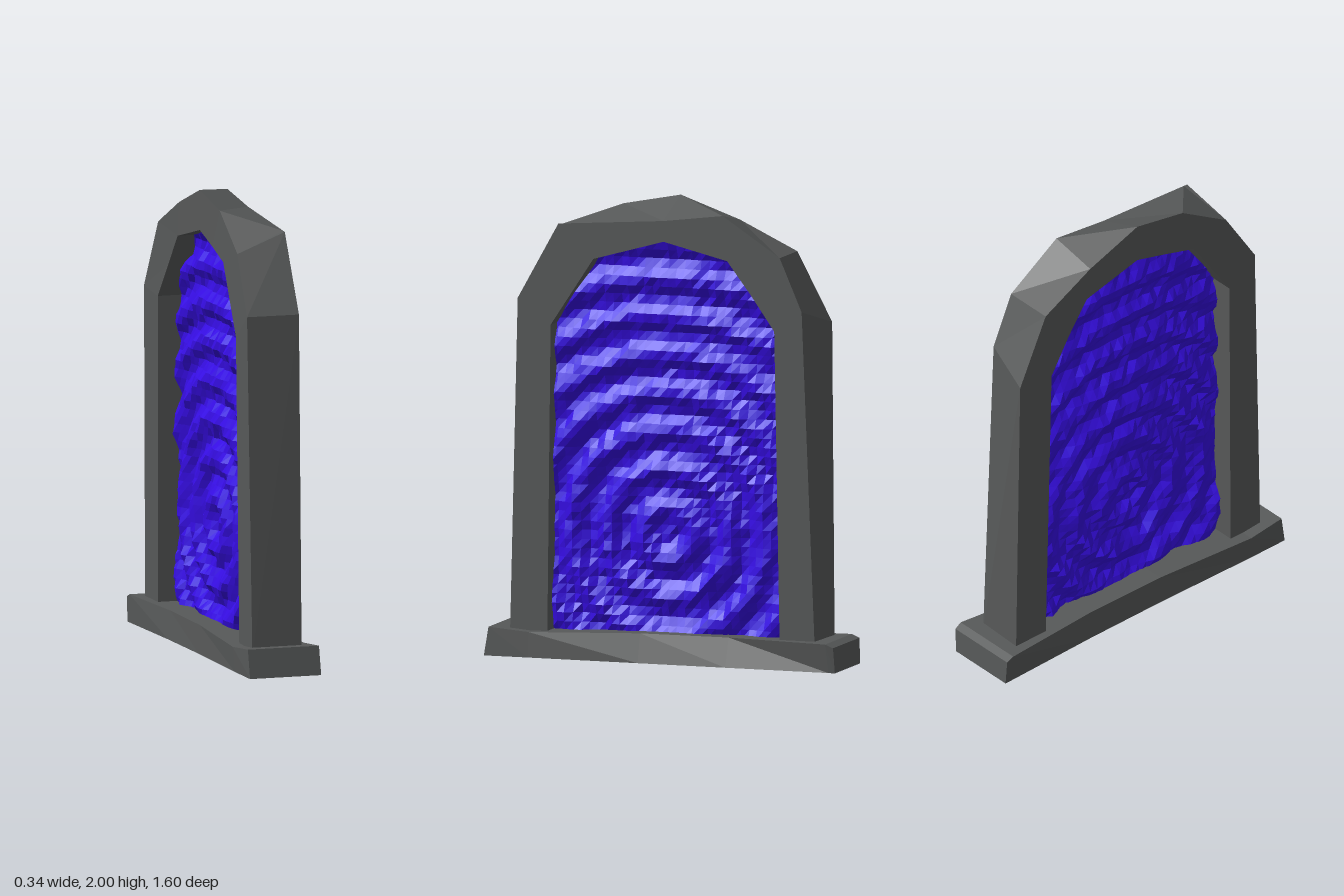
import * as THREE from 'three';

const stone = new THREE.MeshStandardMaterial({ color: 0x575959, flatShading: true });
const glow = new THREE.MeshStandardMaterial({ color: 0x360de4, flatShading: true, side: THREE.DoubleSide });

// Skin a row of four-cornered cross-sections and close both ends
function loft(sections) {
  const index = [];
  const last = (sections.length - 1) * 4;
  for (let i = 0; i < last; i += 4) {
    for (let k = 0; k < 4; k++) {
      const a = i + k, b = i + (k + 1) % 4;
      index.push(a, b, b + 4, a, b + 4, a + 4);
    }
  }
  index.push(0, 2, 1, 0, 3, 2, last, last + 1, last + 2, last, last + 2, last + 3);
  const geo = new THREE.BufferGeometry();
  geo.setAttribute('position', new THREE.Float32BufferAttribute(sections.flat(2), 3));
  geo.setIndex(index);
  const flat = geo.toNonIndexed();
  flat.computeVertexNormals();
  return flat;
}

function add(group, name, geo, material) {
  const mesh = new THREE.Mesh(geo, material);
  mesh.name = name;
  group.add(mesh);
}

// Arch outlines as [z, y], from the left foot over the top to the right foot
const outerFront = [[0.70, 0.09], [0.665, 1.55], [0.48, 1.88], [0.46, 1.882], [0, 1.915],
  [-0.27, 1.95], [-0.53, 1.78], [-0.63, 1.55], [-0.69, 0.09]];
const outerBack = [[0.70, 0.09], [0.66, 1.55], [0.505, 1.80], [0.26, 1.95], [0, 2.0],
  [-0.27, 1.905], [-0.53, 1.78], [-0.685, 1.48], [-0.70, 0.09]];
const inner = [[0.53, 0.09], [0.515, 1.44], [0.32, 1.735], [0.16, 1.78], [0, 1.825],
  [-0.29, 1.755], [-0.40, 1.61], [-0.505, 1.46], [-0.53, 0.09]];
const backX = [-0.12, -0.13, -0.12, -0.115, -0.115, -0.115, -0.12, -0.13, -0.12];

function archGeometry() {
  return loft(inner.map(([z, y], i) => [
    [0.104, outerFront[i][1], outerFront[i][0]],
    [0.104, y, z],
    [backX[i], y, z],
    [backX[i], outerBack[i][1], outerBack[i][0]],
  ]));
}

// Base slab, slightly waisted: [z bottom, z top, x left bottom, x left top, x right bottom, x right top, y top]
function baseGeometry() {
  const rows = [
    [-0.80, -0.795, 0.155, 0.165, -0.165, -0.17, 0.11],
    [-0.77, -0.76, 0.155, 0.17, -0.165, -0.17, 0.125],
    [-0.30, -0.30, 0.155, 0.112, -0.155, -0.145, 0.125],
    [0.10, 0.10, 0.155, 0.122, -0.155, -0.15, 0.125],
    [0.60, 0.60, 0.155, 0.15, -0.165, -0.175, 0.11],
    [0.80, 0.78, 0.158, 0.155, -0.165, -0.168, 0.125],
  ];
  return loft(rows.map(([zb, zt, lb, lt, rb, rt, y]) => [
    [lb, 0, zb], [lt, y, zt], [rt, y, zt], [rb, 0, zb],
  ]));
}

// Half width of the opening at a height, tucked a little into the frame
function halfWidth(y) {
  const steps = [[0.03, 0.58], [1.45, 0.56], [1.75, 0.36], [1.86, 0.05]];
  let i = 0;
  while (i < 2 && y > steps[i + 1][0]) i++;
  const t = (y - steps[i][0]) / (steps[i + 1][0] - steps[i][0]);
  return THREE.MathUtils.lerp(steps[i][1], steps[i + 1][1], t);
}

// Rough sheet rippling outward from a point low in the opening, cut to the arch
function rippleGeometry(side) {
  const geo = new THREE.PlaneGeometry(1.16, 1.83, 32, 46);
  geo.rotateY(side * Math.PI / 2);
  geo.translate(0, 0.945, 0);
  const p = geo.attributes.position;
  for (let i = 0; i < p.count; i++) {
    const y = p.getY(i);
    const w = halfWidth(y);
    const z = THREE.MathUtils.clamp(p.getZ(i), -w, w);
    const r = Math.hypot(z, y - 0.55);
    const noise = Math.sin(i * 12.9898 + side) * 43758.5453;
    const jitter = (noise - Math.floor(noise) - 0.5) * 0.016;
    const wave = 0.019 * Math.cos(Math.PI * 2 * (r / 0.165 + 0.3));
    p.setXYZ(i, side * (0.038 + wave) + jitter, y, z);
  }
  geo.computeVertexNormals();
  return geo;
}

export function createModel() {
  const group = new THREE.Group();
  group.name = 'portal';
  add(group, 'base', baseGeometry(), stone);
  add(group, 'archFrame', archGeometry(), stone);
  add(group, 'leftRippleSheet', rippleGeometry(1), glow);
  add(group, 'rightRippleSheet', rippleGeometry(-1), glow);
  return group;
}
